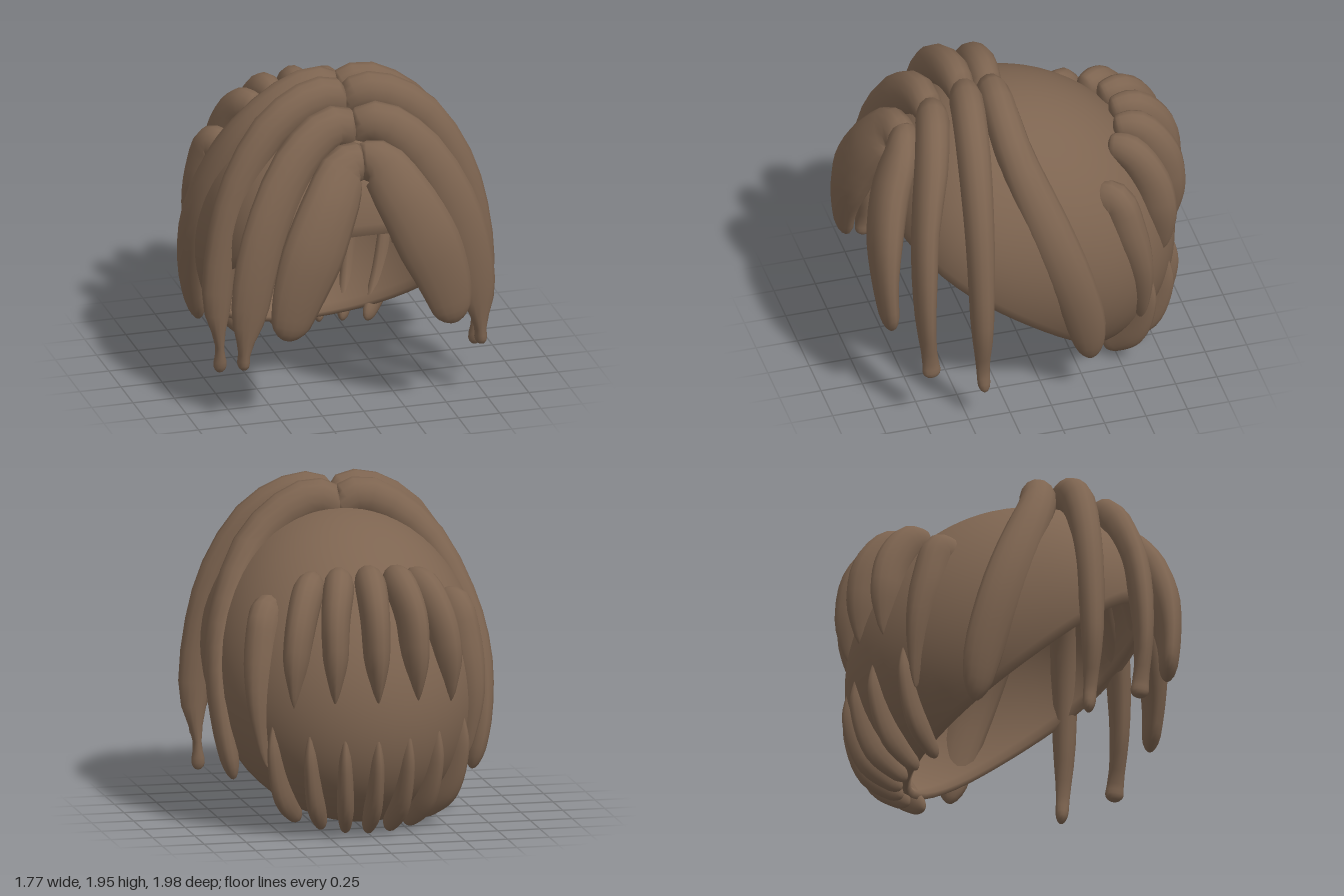
import * as THREE from 'three';
import { mergeVertices } from 'three/addons/utils/BufferGeometryUtils.js';

const SEGMENTS = 24, SIDES = 14;

// Weld seams so that the shading is smooth all round
function smooth(geometry) {
  geometry.deleteAttribute('uv');
  geometry.deleteAttribute('normal');
  const welded = mergeVertices(geometry, 1e-4);
  welded.computeVertexNormals();
  return welded;
}

// Lock of hair through rows [x, y, z, ra, rb]: ra is the half size along the axis,
// rb the half size across it. side = -1 mirrors it; parted locks end flat at x = 0.
function lockGeometry(rows, axis, side = 1, parted = false) {
  const path = new THREE.CatmullRomCurve3(rows.map(r => new THREE.Vector3(r[0] * side, r[1], r[2])));
  const size = new THREE.CatmullRomCurve3(rows.map(r => new THREE.Vector3(r[3], r[4], 0)));
  const a = new THREE.Vector3(axis[0] * side, axis[1], axis[2]).normalize();
  const round = u => Math.sqrt(1 - (1 - Math.min(1, u / 0.08)) ** 2);
  const positions = [], index = [];
  for (let i = 0; i <= SEGMENTS; i++) {
    const u = 0.5 - 0.5 * Math.cos(Math.PI * i / SEGMENTS); // closer rings at the ends
    const p = path.getPoint(u), s = size.getPoint(u), t = path.getTangent(u);
    const b = t.clone().cross(a).normalize();
    const n = b.clone().cross(t);
    const k = (parted ? 1 : round(u)) * round(1 - u);
    for (let j = 0; j < SIDES; j++) {
      const th = j / SIDES * Math.PI * 2;
      const v = p.clone()
        .addScaledVector(n, Math.cos(th) * s.x * k)
        .addScaledVector(b, Math.sin(th) * s.y * k);
      if (parted && v.x * side < 0) v.x = 0;
      positions.push(v.x, v.y, v.z);
      if (i < SEGMENTS) {
        const c = i * SIDES + j, d = i * SIDES + (j + 1) % SIDES;
        index.push(c, d, d + SIDES, c, d + SIDES, c + SIDES);
      }
    }
  }
  const g = new THREE.BufferGeometry();
  g.setAttribute('position', new THREE.Float32BufferAttribute(positions, 3));
  g.setIndex(index);
  return smooth(g);
}

// Hollow cap: a tilted sphere section, sheared so that the back hangs lower
function capGeometry() {
  const rim = 2.01, steps = 28, profile = [];
  for (let i = 0; i <= steps; i++) {
    const th = rim * i / steps;
    profile.push(new THREE.Vector2(0.957 * Math.sin(th), 0.957 * Math.cos(th)));
  }
  for (let i = steps; i >= 0; i--) {
    const th = rim * i / steps;
    profile.push(new THREE.Vector2(Math.sin(th), Math.cos(th)));
  }
  const g = new THREE.LatheGeometry(profile, 48);
  g.rotateX(-0.504);
  const pos = g.attributes.position;
  for (let i = 0; i < pos.count; i++) {
    const x = pos.getX(i), y = pos.getY(i), z = pos.getZ(i);
    const widen = z > 0 ? 1 + 0.42 * z * z : 1;
    pos.setXYZ(i, 0.8 * x * widen, 0.9 + 0.88 * y + 0.2 * z, -0.05 + 0.88 * z);
  }
  return smooth(g);
}

// Parted locks, from the crown forward to the fringe
const partedLocks = {
  crownLock: { axis: [-0.2, 0, 1], rows: [
    [-0.06, 1.75, 0.17, 0.08, 0.1], [0.14, 1.85, 0.17, 0.1, 0.12], [0.47, 1.66, 0.14, 0.11, 0.11],
    [0.685, 1.28, 0.01, 0.13, 0.1], [0.765, 0.95, -0.1, 0.135, 0.085], [0.76, 0.6, -0.2, 0.12, 0.07],
    [0.71, 0.29, -0.25, 0.07, 0.05]] },
  templeLock: { axis: [0, 0, 1], rows: [
    [-0.06, 1.75, 0.31, 0.06, 0.1], [0.14, 1.85, 0.34, 0.1, 0.125], [0.42, 1.73, 0.38, 0.1, 0.12],
    [0.64, 1.42, 0.41, 0.09, 0.11], [0.75, 1.08, 0.425, 0.08, 0.1], [0.795, 0.68, 0.43, 0.065, 0.09],
    [0.775, 0.38, 0.42, 0.04, 0.025], [0.77, 0.22, 0.41, 0.04, 0.055]] },
  cheekLock: { axis: [0, 0, 1], rows: [
    [-0.06, 1.63, 0.5, 0.06, 0.1], [0.12, 1.74, 0.54, 0.1, 0.13], [0.35, 1.6, 0.61, 0.1, 0.135],
    [0.54, 1.3, 0.7, 0.08, 0.135], [0.64, 1.0, 0.735, 0.07, 0.13], [0.69, 0.7, 0.74, 0.055, 0.11],
    [0.715, 0.45, 0.72, 0.05, 0.035], [0.72, 0.35, 0.71, 0.06, 0.04]] },
  fringeLock: { axis: [0, 0, 1], rows: [
    [-0.08, 1.52, 0.65, 0.08, 0.11], [0.09, 1.555, 0.71, 0.1, 0.14], [0.22, 1.37, 0.82, 0.11, 0.175],
    [0.34, 1.12, 0.89, 0.1, 0.19], [0.44, 0.86, 0.915, 0.07, 0.16], [0.51, 0.58, 0.9, 0.05, 0.1]] }
};

// Upper back locks: rows of centre, half width and half depth, from the middle outward
const upperBackLocks = [
  [[0, 1.49, -0.56, 0.06, 0.09], [0, 1.5, -0.7, 0.09, 0.11], [0, 1.33, -0.83, 0.085, 0.13],
    [0, 1.1, -0.87, 0.075, 0.125], [0, 0.8, -0.87, 0.008, 0.05]],
  [[0.16, 1.48, -0.54, 0.06, 0.09], [0.18, 1.49, -0.67, 0.09, 0.11], [0.225, 1.32, -0.79, 0.085, 0.13],
    [0.235, 1.1, -0.83, 0.075, 0.125], [0.235, 0.8, -0.83, 0.008, 0.05]],
  [[0.28, 1.46, -0.47, 0.06, 0.09], [0.34, 1.45, -0.58, 0.09, 0.11], [0.41, 1.28, -0.69, 0.085, 0.12],
    [0.445, 1.08, -0.73, 0.075, 0.115], [0.45, 0.78, -0.73, 0.008, 0.05]],
  [[0.53, 1.28, -0.34, 0.07, 0.1], [0.56, 1.29, -0.43, 0.095, 0.12], [0.6, 1.08, -0.5, 0.1, 0.12],
    [0.62, 0.8, -0.56, 0.07, 0.1], [0.58, 0.42, -0.58, 0.01, 0.04]]
];

// Nape locks: [radial factor, height, half width, half depth]
const napeProfile = [
  [0.94, 0.7, 0.006, 0.025], [0.935, 0.47, 0.042, 0.08], [0.835, 0.21, 0.05, 0.09], [0.63, 0.03, 0.03, 0.045]];
const napeAngles = [0, 14, 29, 46];

export function createModel() {
  const model = new THREE.Group();
  model.name = 'wig';
  const hair = new THREE.MeshStandardMaterial({ color: 0x7d6450 });
  hair.name = 'brown hair';

  const add = (name, geometry) => {
    const mesh = new THREE.Mesh(geometry, hair);
    mesh.name = name;
    model.add(mesh);
  };

  add('cap', capGeometry());

  for (const [name, { axis, rows }] of Object.entries(partedLocks)) {
    add(name + 'Left', lockGeometry(rows, axis, 1, true));
    add(name + 'Right', lockGeometry(rows, axis, -1, true));
  }

  upperBackLocks.forEach((rows, k) => {
    const [x, , z] = rows[3];
    for (const side of k ? [1, -1] : [1]) add('upperBackLock' + k, lockGeometry(rows, [-z, 0, x], side));
  });

  napeAngles.forEach((deg, k) => {
    const a = THREE.MathUtils.degToRad(deg);
    const lift = 0.15 * (1 - Math.cos(a));
    const rows = napeProfile.map(([r, y, w, d]) =>
      [0.8 * r * Math.sin(a), y + lift, -0.05 - 0.88 * r * Math.cos(a), w, d]);
    const axis = [Math.cos(a), 0, Math.sin(a)];
    for (const side of k ? [1, -1] : [1]) add('napeLock' + k, lockGeometry(rows, axis, side));
  });

  return model;
}
